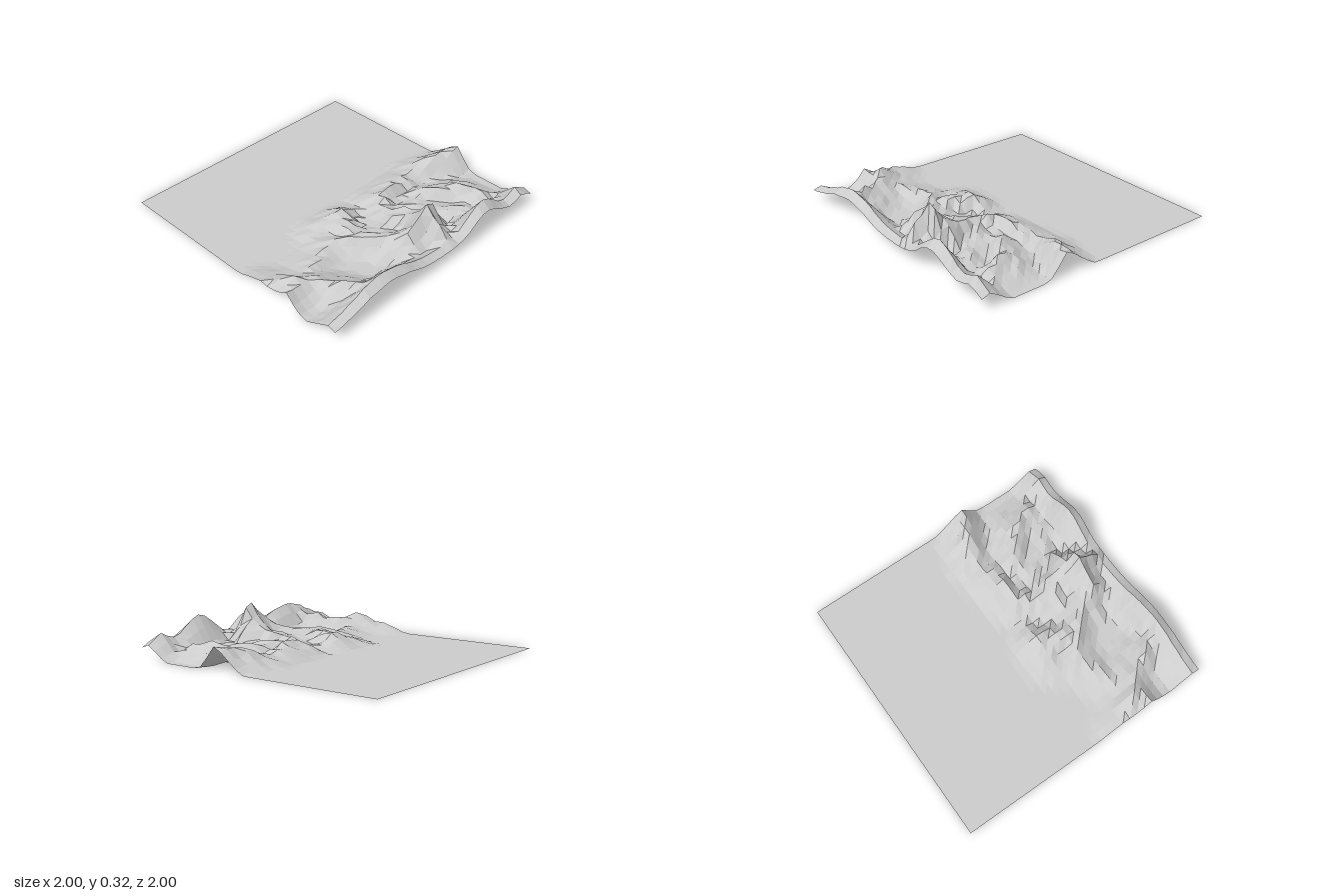
import * as THREE from 'three';

// Crest lines of the inner ridges, as points (x, height, z)
const P = (x, y, z) => new THREE.Vector3(x, y, z);
const crests = [
  // central peak and its two shoulders
  [P(0.125, 0.2, 0.89), P(0.125, 0.325, 0.75), P(0.15, 0.25, 0.68), P(0.19, 0.13, 0.5), P(-0.02, 0.12, 0.52)],
  [P(0.19, 0.3, 0.75), P(0.06, 0.27, 0.75), P(-0.06, 0.195, 0.75)],
  // western ridge and its side arm
  [P(-0.98, 0.08, 0.32), P(-0.9, 0.155, 0.5), P(-0.74, 0.13, 0.62), P(-0.62, 0.18, 0.9)],
  [P(-1, 0.12, 0.56), P(-0.9, 0.14, 0.54)],
  // diagonal ridge and northern foothill
  [P(-0.7, 0.07, 0.45), P(-0.42, 0.09, 0.36), P(-0.25, 0.13, 0.47), P(-0.06, 0.15, 0.66)],
  [P(-0.3, 0.09, 0.2), P(-0.15, 0.14, 0.22), P(-0.25, 0.12, 0.47)],
  // hook-shaped ridge
  [P(0.08, 0.11, 0.5), P(0.22, 0.13, 0.26), P(0.48, 0.11, 0.22)],
  // walls of the eastern basin
  [P(0.3, 0.09, 0.5), P(0.55, 0.09, 0.8)],
  [P(0.45, 0.11, 0.44), P(0.69, 0.13, 0.58), P(0.72, 0.12, 0.78)],
  // eastern hill
  [P(0.66, 0.1, 0.19), P(0.82, 0.16, 0.25), P(1, 0.18, 0.31)],
];
const ridges = crests.flatMap((c) => c.slice(1).map((end, i) => new THREE.Line3(c[i], end)));

const bell = (x, centre, width) => Math.exp(-(((x - centre) / width) ** 2));

// Long rim near the front edge: broad summits, a steep back wall and a slight drop in front
function rimAt(x, z) {
  const crest = 0.1 + 0.06 * bell(x, -0.7, 0.18) + 0.12 * bell(x, -0.45, 0.24)
    + 0.17 * bell(x, 0.49, 0.19) + 0.08 * bell(x, 0.88, 0.09);
  const reach = z < 0.93 ? 0.17 : 0.33;
  return crest * Math.max(0, 1 - Math.abs(z - 0.93) / reach);
}

// Slope below one ridge segment: long and hollow towards the plain, short towards the front
function slopeAt(x, z, { start, end }) {
  const dx = end.x - start.x, dz = end.z - start.z;
  const along = ((x - start.x) * dx + (z - start.z) * dz) / (dx * dx + dz * dz);
  const top = start.clone().lerp(end, THREE.MathUtils.clamp(along, 0, 1));
  const reach = z < top.z ? 0.26 : 0.16;
  return top.y * Math.max(0, 1 - Math.hypot(x - top.x, z - top.z) / reach) ** 1.2;
}

// Repeatable roughness in -1..1 for a grid point
function grain(x, z) {
  const s = Math.sin(Math.round(x * 16) * 127.1 + Math.round(z * 16) * 311.7) * 43758.5453;
  return (s - Math.floor(s)) * 2 - 1;
}

// Highest slope at a point, cut off at the level of the plain
function heightAt(x, z) {
  const h = Math.max(rimAt(x, z), ...ridges.map((r) => slopeAt(x, z, r)));
  const rough = h < 0.15 && z < 0.85 ? 0.16 : 0.04;
  return Math.max(0, h * (1 + rough * grain(x, z)) - 0.006);
}

export function createModel() {
  const group = new THREE.Group();
  group.name = 'landscape';

  // One open sheet: flat plain behind, mountains in front
  const geo = new THREE.PlaneGeometry(2, 2, 32, 32);
  geo.rotateX(-Math.PI / 2).rotateY(Math.PI / 2);
  const pos = geo.attributes.position;
  for (let i = 0; i < pos.count; i++) {
    pos.setY(i, heightAt(pos.getX(i), pos.getZ(i)));
  }
  geo.computeVertexNormals();

  const terrain = new THREE.Mesh(geo, new THREE.MeshStandardMaterial({
    color: 0xcccccc, flatShading: true, side: THREE.DoubleSide,
  }));
  terrain.name = 'terrain';
  group.add(terrain);
  return group;
}
